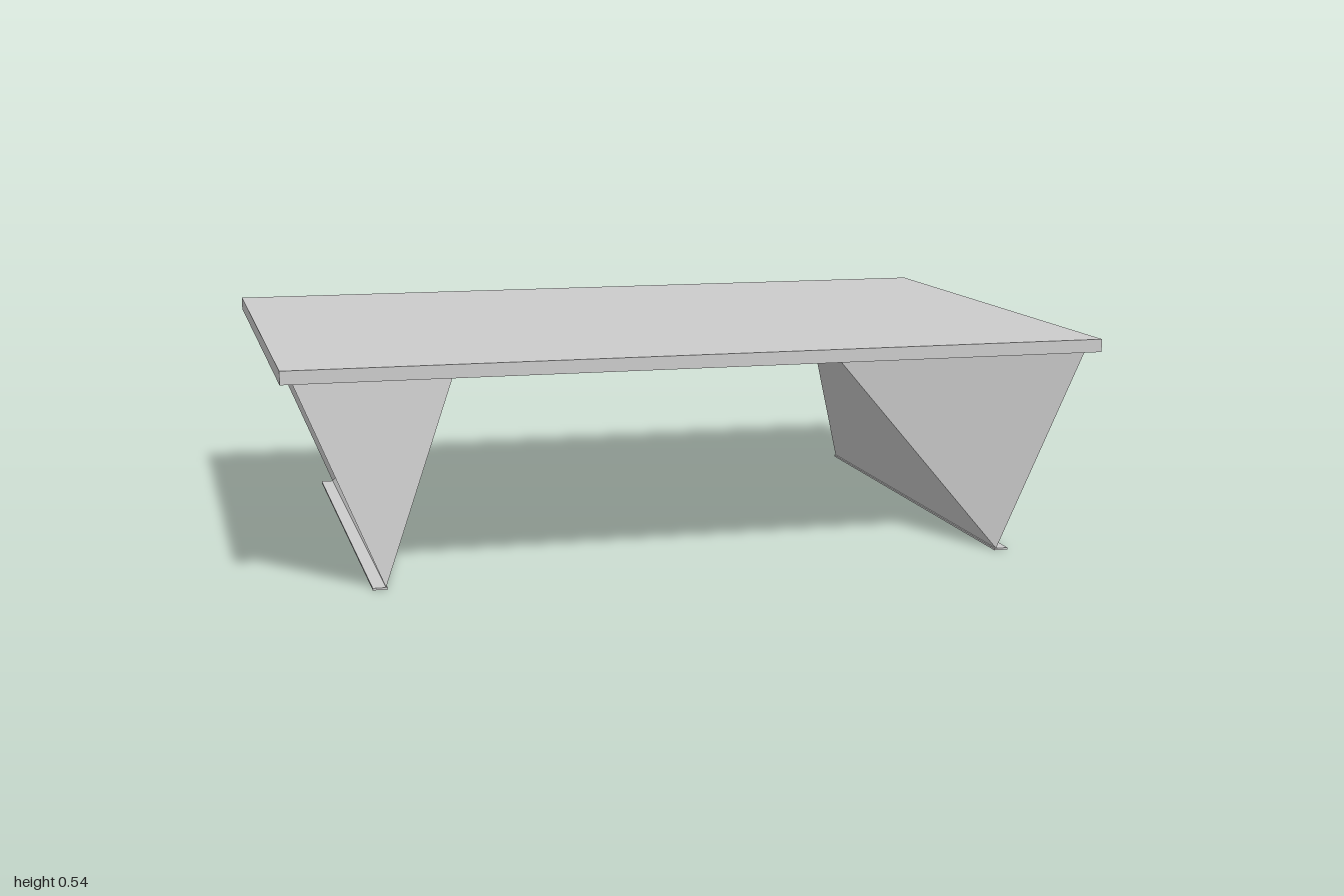
import * as THREE from 'three';

const TOP_Y = 0.503, SHEET_Y = 0.5, FOOT_Y = 0.005;

// One folded-sheet leg; s = +1 for the left (+x) side, -1 for the right
function createLeg(s, material) {
  const leg = new THREE.Group();

  // Folded sheet: a leaning centre triangle, two wings and narrow glue flanges
  const apex = [0.47, SHEET_Y, 0], apexIn = [0.51, SHEET_Y, 0];
  const positions = [];
  const tri = (a, b, c) => {
    const corners = s > 0 ? [a, b, c] : [a, c, b];
    for (const [x, y, z] of corners) positions.push(x * s, y, z);
  };
  tri([0.765, FOOT_Y, 0.603], [0.765, FOOT_Y, -0.603], apex);
  for (const m of [1, -1]) {
    const foot = [0.765, FOOT_Y, 0.603 * m];
    const corner = [0.97, SHEET_Y, 0.636 * m];
    const cornerIn = [0.97, SHEET_Y, 0.585 * m];
    const wingTri = (a, b, c) => (m > 0 ? tri(a, b, c) : tri(a, c, b));
    wingTri(foot, apex, corner);
    wingTri(apex, apexIn, cornerIn);
    wingTri(apex, cornerIn, corner);
  }
  const geometry = new THREE.BufferGeometry();
  geometry.setAttribute('position', new THREE.Float32BufferAttribute(positions, 3));
  geometry.computeVertexNormals();
  const sheet = new THREE.Mesh(geometry, material);
  sheet.name = 'foldedSheet';

  // Thin strip the leg stands on, turned outwards
  const foot = new THREE.Mesh(new THREE.BoxGeometry(0.035, FOOT_Y, 1.206), material);
  foot.position.set(s * 0.7785, FOOT_Y / 2, 0);
  foot.name = 'footStrip';

  leg.add(sheet, foot);
  return leg;
}

export function createModel() {
  const group = new THREE.Group();
  group.name = 'table';
  const material = new THREE.MeshStandardMaterial({
    color: 0xcccccc, flatShading: true, side: THREE.DoubleSide,
  });

  // Tabletop slab
  const top = new THREE.Mesh(new THREE.BoxGeometry(2, 0.032, 1.334), material);
  top.position.y = TOP_Y + 0.016;
  top.name = 'tabletop';
  group.add(top);

  // Mirrored legs
  for (const [s, name] of [[1, 'leftLeg'], [-1, 'rightLeg']]) {
    const leg = createLeg(s, material);
    leg.name = name;
    group.add(leg);
  }
  return group;
}
